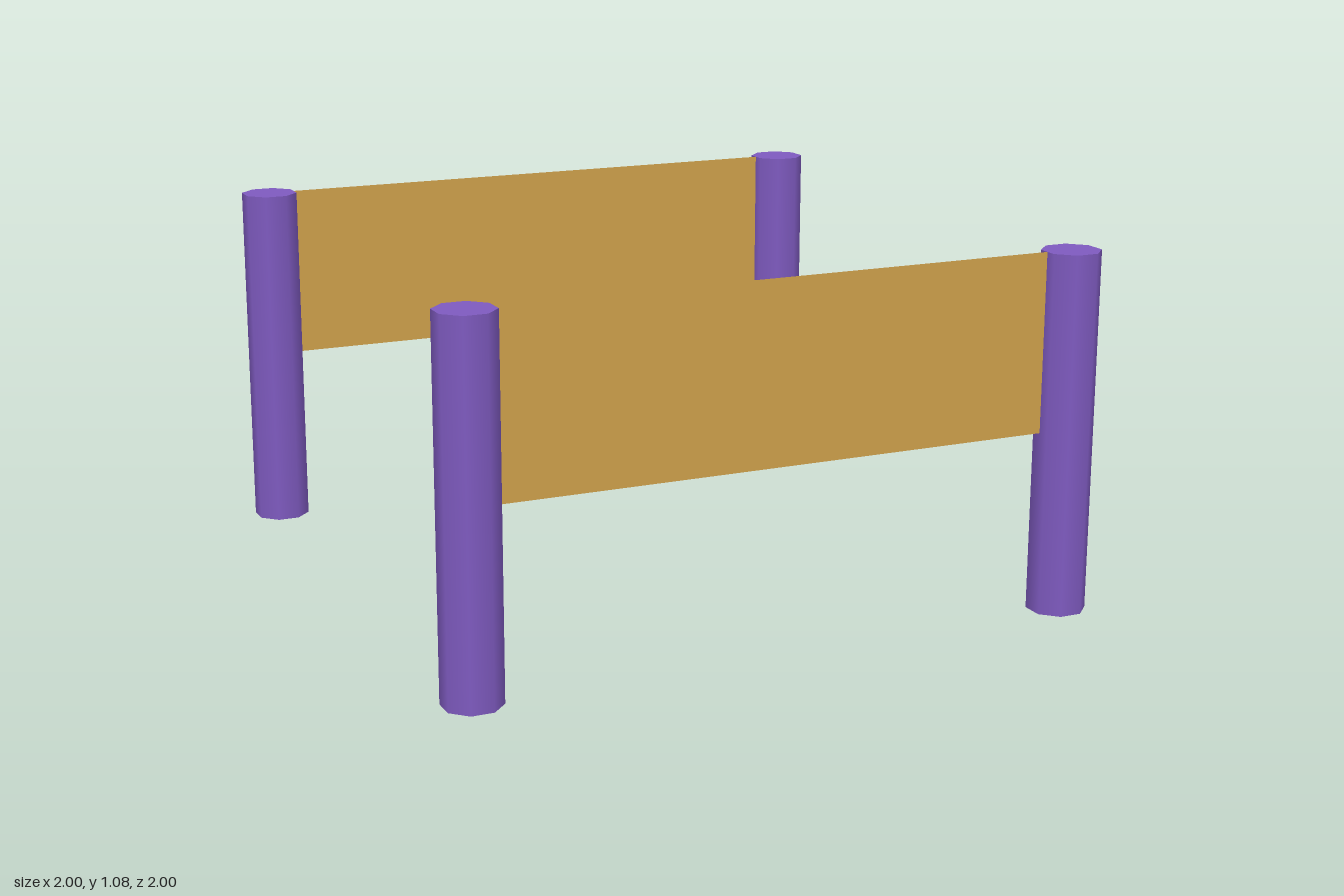
import * as THREE from 'three';

export function createModel() {
  const group = new THREE.Group();

  const purple = new THREE.MeshStandardMaterial({ color: 0x7e5abf });
  purple.name = 'purple post';
  const gold = new THREE.MeshStandardMaterial({ color: 0xcea04b, side: THREE.DoubleSide });
  gold.name = 'golden panel';

  const height = 1.08;
  const apothem = 0.081;
  const offset = 1 - apothem;
  const panelBottom = 0.545;

  // Eight-sided posts with flats facing the axes
  const postGeometry = new THREE.CylinderGeometry(
    apothem / Math.cos(Math.PI / 8), apothem / Math.cos(Math.PI / 8), height, 8);
  postGeometry.rotateY(Math.PI / 8);
  postGeometry.translate(0, height / 2, 0);

  // Thin sheet hung between the posts of each pair
  const panelGeometry = new THREE.PlaneGeometry(2 * (offset - apothem) + 0.01, height - panelBottom);
  panelGeometry.translate(0, (height + panelBottom) / 2, 0);

  for (const [end, sz] of [['front', 1], ['back', -1]]) {
    for (const [side, sx] of [['Left', 1], ['Right', -1]]) {
      const post = new THREE.Mesh(postGeometry, purple);
      post.name = `${end}${side}Post`;
      post.position.set(sx * offset, 0, sz * offset);
      group.add(post);
    }
    const panel = new THREE.Mesh(panelGeometry, gold);
    panel.name = `${end}Panel`;
    panel.position.z = sz * offset;
    group.add(panel);
  }

  return group;
}
